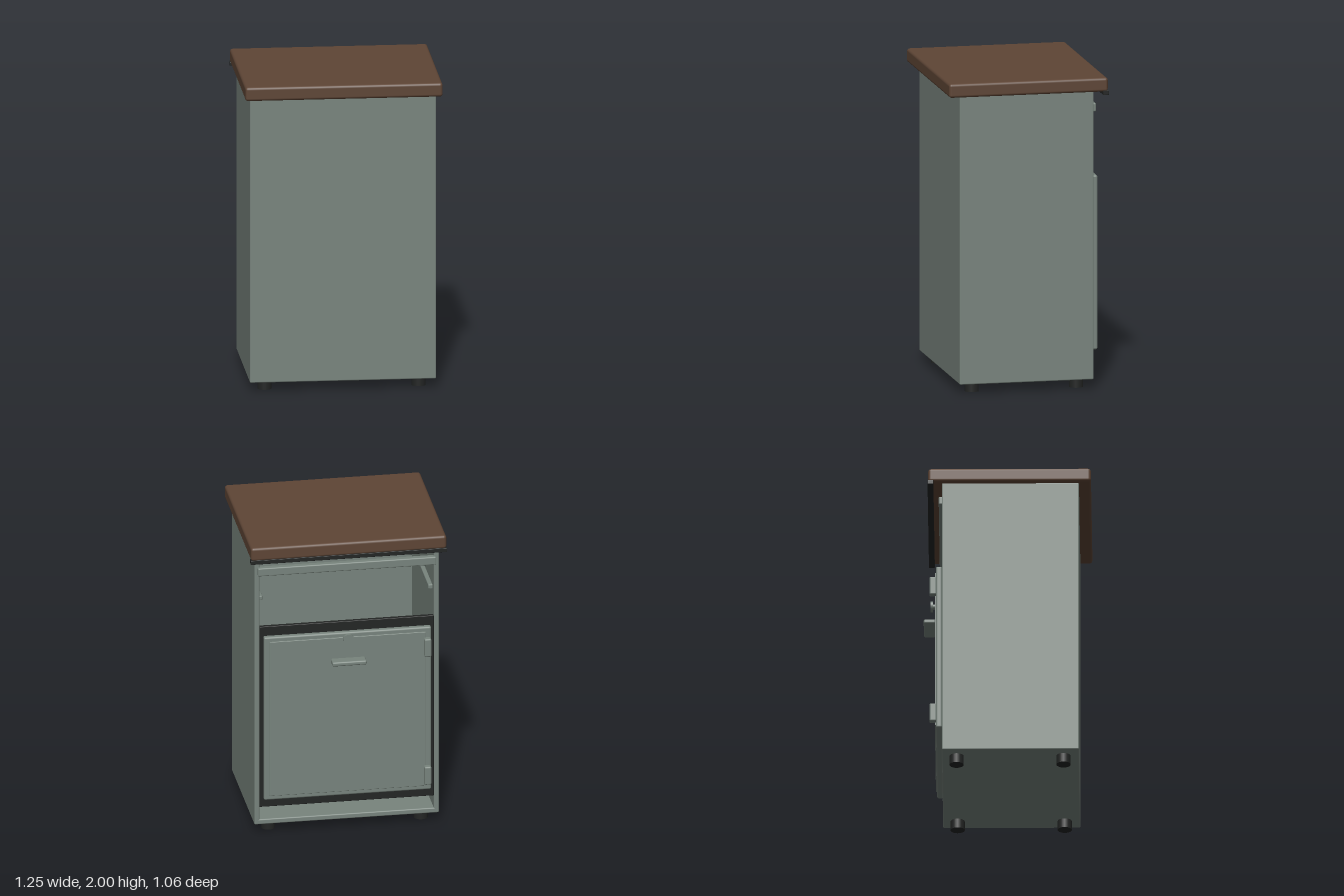
import * as THREE from 'three';
import { RoundedBoxGeometry } from 'three/addons/geometries/RoundedBoxGeometry.js';

const mat = (name, color) => {
  const m = new THREE.MeshStandardMaterial({ color });
  m.name = name;
  return m;
};

export function createModel() {
  const paint = mat('grey green paint', 0x78847d);
  const wood = mat('brown wood', 0x5e4535);
  const rubber = mat('black rubber', 0x232524);
  const model = new THREE.Group();
  model.name = 'cabinet';

  const add = (name, geometry, material, x = 0, y = 0, z = 0) => {
    const mesh = new THREE.Mesh(geometry, material);
    mesh.name = name;
    mesh.position.set(x, y, z);
    model.add(mesh);
    return mesh;
  };
  // Rounded block given by its limits on each axis
  const block = (name, material, [x0, x1], [y0, y1], [z0, z1], r = 0.006) =>
    add(name, new RoundedBoxGeometry(x1 - x0, y1 - y0, z1 - z0, 3, r), material,
      (x0 + x1) / 2, (y0 + y1) / 2, (z0 + z1) / 2);

  // Carcass, open at the back and closed by the worktop
  block('frontPanel', paint, [-0.59, 0.59], [0.06, 1.915], [0.42, 0.453], 0.008);
  block('floor', paint, [-0.59, 0.59], [0.06, 0.095], [-0.412, 0.453], 0.008);
  block('crossBar', paint, [-0.57, 0.57], [1.775, 1.83], [-0.432, -0.39], 0.008);
  for (const s of [-1, 1]) {
    const wall = block('sidePanel', paint, [0.557, 0.59], [0.06, 1.915], [-0.412, 0.453], 0.008);
    wall.position.x *= s;
    const rail = block('innerRail', paint, [0.53, 0.56], [1.58, 1.61], [-0.36, 0]);
    rail.position.x *= s;
  }

  // Worktop with a trim strip under its back edge
  block('worktop', wood, [-0.625, 0.625], [1.91, 2], [-0.498, 0.528], 0.018);
  block('edgeTrim', rubber, [-0.627, 0.627], [1.89, 1.918], [-0.502, -0.465], 0.003);

  // Door with its seal and raised centre
  block('doorSeal', rubber, [-0.557, 0.557], [0.18, 1.42], [-0.412, -0.385], 0.004);
  block('door', paint, [-0.535, 0.535], [0.24, 1.36], [-0.45, -0.41], 0.012);
  block('doorPanel', paint, [-0.5, 0.5], [0.27, 1.33], [-0.457, -0.44], 0.004);

  // Hinges, handle and lock
  for (const y of [0.35, 1.23])
    block('hinge', paint, [-0.53, -0.485], [y - 0.062, y + 0.062], [-0.49, -0.445], 0.01);
  block('handle', paint, [-0.11, 0.11], [1.163, 1.192], [-0.53, -0.455], 0.01);
  const stem = add('lockStem', new THREE.CylinderGeometry(0.018, 0.018, 0.04, 20), paint, 0, 1.325, -0.46);
  const knob = add('lockKnob', new THREE.CylinderGeometry(0.035, 0.035, 0.018, 28), paint, 0, 1.325, -0.48);
  stem.rotation.x = knob.rotation.x = Math.PI / 2;

  // Feet
  for (const x of [-0.488, 0.488])
    for (const z of [-0.32, 0.355])
      add('foot', new THREE.CylinderGeometry(0.045, 0.045, 0.062, 24), rubber, x, 0.031, z);

  return model;
}
